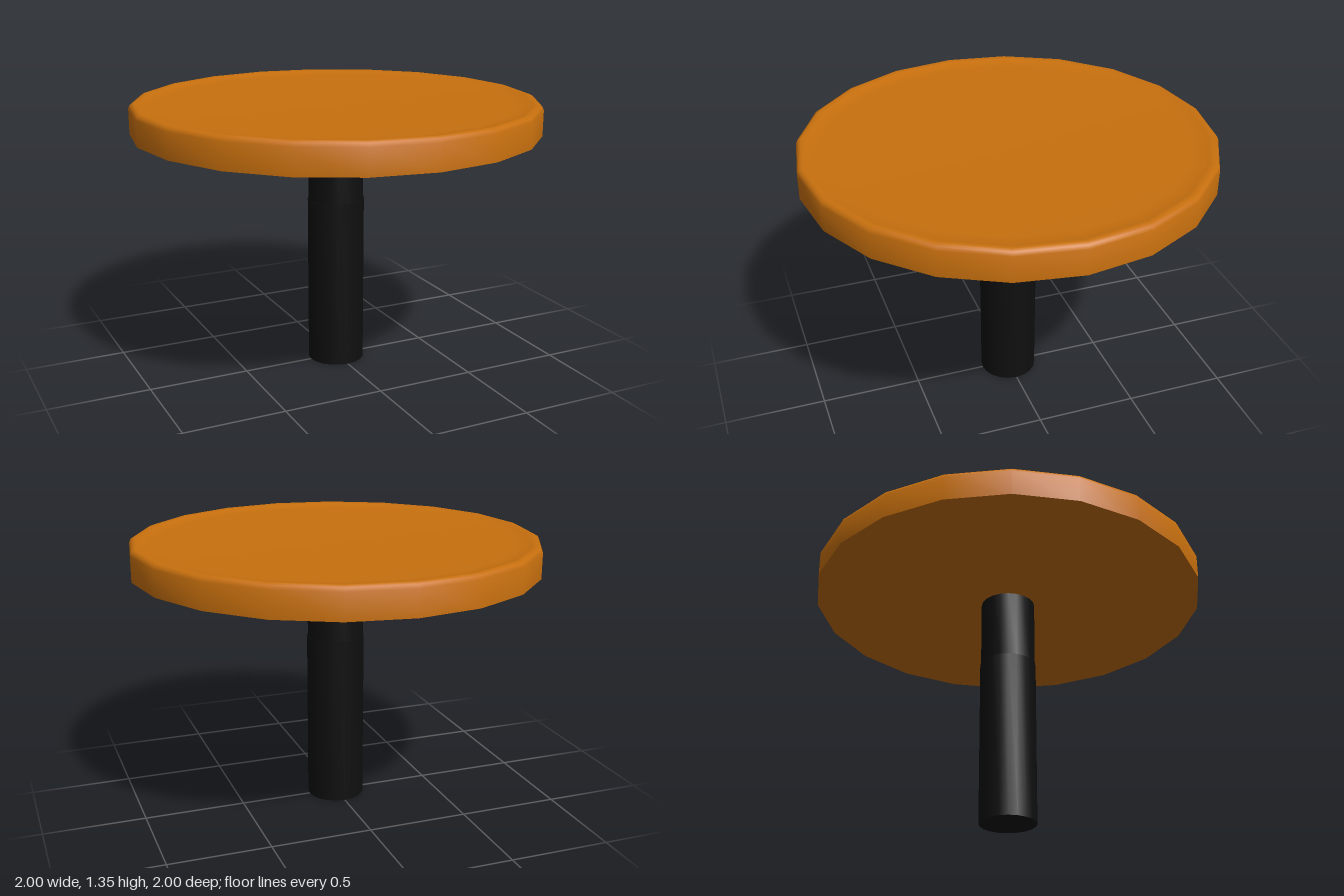
import * as THREE from 'three';
import { toCreasedNormals } from 'three/addons/utils/BufferGeometryUtils.js';

const SIDES = 20;

// Spins a profile of [radius, height] points, keeping sharp edges crisp.
function turned(name, profile, material) {
  const points = profile.map(([r, y]) => new THREE.Vector2(r, y));
  const geometry = toCreasedNormals(new THREE.LatheGeometry(points, SIDES), 0.75);
  const mesh = new THREE.Mesh(geometry, material);
  mesh.name = name;
  return mesh;
}

export function createModel() {
  const wood = new THREE.MeshStandardMaterial({ color: 0xc8700e });
  wood.name = 'orangeWood';
  const black = new THREE.MeshStandardMaterial({ color: 0x0f0f0f });
  black.name = 'blackMetal';

  const table = new THREE.Group();
  table.name = 'roundTable';

  // Round top with an eased rim and a shallow dished surface
  table.add(turned('tableTop', [
    [0, 1.2], [1, 1.2], [1, 1.325], [0.992, 1.342], [0.975, 1.35],
    [0.95, 1.345], [0.92, 1.338], [0.87, 1.335], [0, 1.335],
  ], wood));

  // Lower sleeve of the column
  table.add(turned('columnSleeve', [
    [0, 0], [0.142, 0], [0.142, 0.85], [0, 0.85],
  ], black));

  // Slightly slimmer upper post
  table.add(turned('columnPost', [
    [0, 0.84], [0.138, 0.84], [0.138, 1.205], [0, 1.205],
  ], black));

  return table;
}
